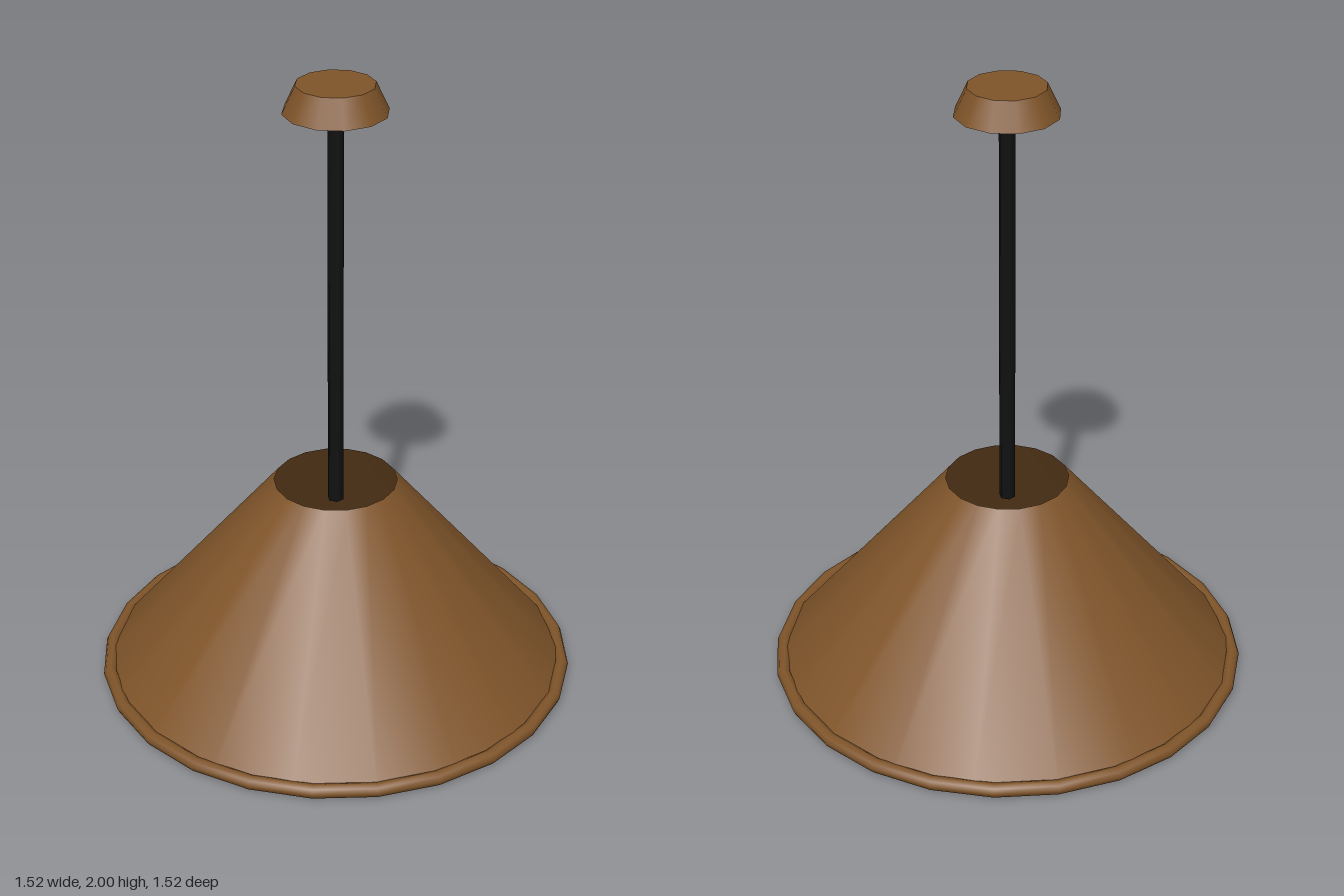
import * as THREE from 'three';

export function createModel() {
  const model = new THREE.Group();
  const brown = new THREE.MeshStandardMaterial({ color: 0x80552a });
  brown.name = 'brown';
  const brownSheet = brown; // shared by the thin open shade
  brownSheet.side = THREE.DoubleSide;
  const black = new THREE.MeshStandardMaterial({ color: 0x111111 });
  black.name = 'black';
  const orange = new THREE.MeshStandardMaterial({ color: 0xff732b });
  orange.name = 'glowing orange';

  const add = (name, geometry, material, y) => {
    const mesh = new THREE.Mesh(geometry, material);
    mesh.name = name;
    mesh.position.y = y;
    model.add(mesh);
    return mesh;
  };
  // Round part standing between two heights
  const turned = (name, rTop, rBottom, y0, y1, sides, material, open = false) =>
    add(name, new THREE.CylinderGeometry(rTop, rBottom, y1 - y0, sides, 1, open), material, (y0 + y1) / 2);

  // Ceiling mount and hanging rod
  turned('ceilingMount', 0.12, 0.16, 1.915, 2, 12, brown);
  turned('rod', 0.026, 0.026, 0.61, 1.93, 6, black);

  // Open conical shade with a rolled rim
  turned('shade', 0.195, 0.74, 0.022, 0.68, 18, brownSheet, true);
  const rim = add('rim', new THREE.TorusGeometry(0.74, 0.0225, 8, 24), brown, 0.0225);
  rim.rotation.x = Math.PI / 2;

  // Light disc inside the shade
  turned('lightDisc', 0.605, 0.605, 0.04, 0.064, 24, orange);

  return model;
}
